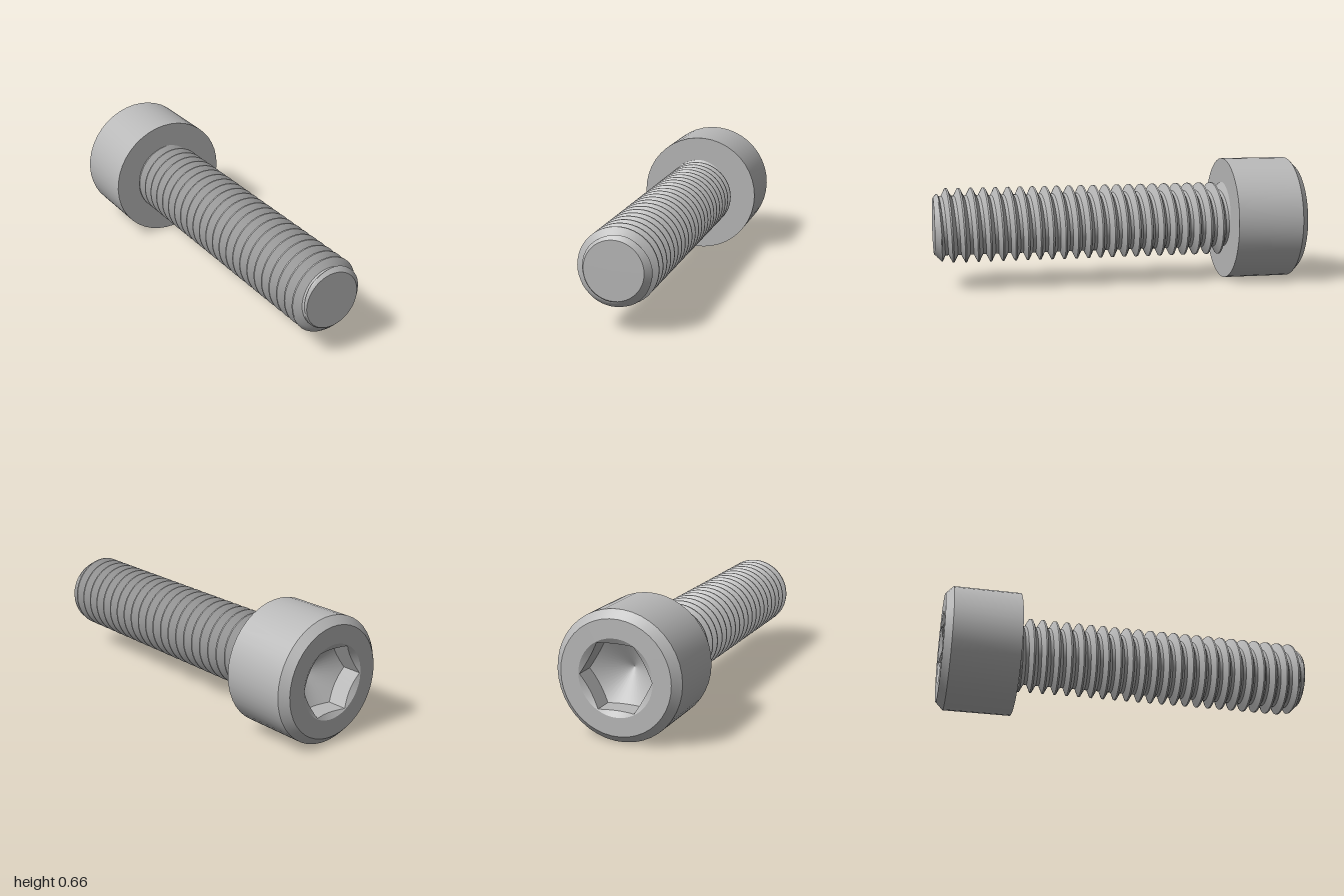
import * as THREE from 'three';
import { toCreasedNormals } from 'three/addons/utils/BufferGeometryUtils.js';

const TAU = Math.PI * 2;

// Surface from rings around the z axis; ring(j, angle) returns [radius, z]
function loft(count, segments, ring, crease) {
  const positions = [], index = [];
  const row = segments + 1;
  for (let j = 0; j < count; j++) {
    for (let i = 0; i <= segments; i++) {
      const a = (i / segments) * TAU;
      const [r, z] = ring(j, a);
      positions.push(r * Math.cos(a), r * Math.sin(a), z);
      if (j < count - 1 && i < segments) {
        const p = j * row + i;
        index.push(p, p + 1, p + row + 1, p, p + row + 1, p + row);
      }
    }
  }
  const g = new THREE.BufferGeometry();
  g.setAttribute('position', new THREE.Float32BufferAttribute(positions, 3));
  g.setIndex(index);
  return toCreasedNormals(g, crease);
}

// Distance from the axis to a hexagon with corners on the x axis
function hexRadius(a) {
  const sector = Math.PI / 3;
  const local = (((a + 1e-9) % sector) + sector) % sector - sector / 2;
  return 0.1667 / Math.cos(local);
}

export function createModel() {
  const steel = new THREE.MeshStandardMaterial({ color: 0xb8b8b8 });
  steel.name = 'steel grey';

  const model = new THREE.Group();
  model.name = 'socketHeadScrew';
  const axis = new THREE.Group();
  axis.name = 'screwAxis';
  axis.position.y = 0.333;
  model.add(axis);
  const add = (name, geometry) => {
    const mesh = new THREE.Mesh(geometry, steel);
    mesh.name = name;
    axis.add(mesh);
    return mesh;
  };

  // Head: drilled socket bottom, hexagonal walls, countersink, chamfered rim, underside
  const back = -1, mouth = 0.197;
  const headRings = [
    () => [0, back + 0.22],
    (a) => [hexRadius(a), back + 0.22 - hexRadius(a) * 0.577],
    (a) => [hexRadius(a), back + (mouth - hexRadius(a)) * 0.6],
    () => [mouth, back],
    () => [0.293, back],
    () => [0.333, -0.96],
    () => [0.333, -0.6],
    () => [0.1, -0.6],
  ];
  add('head', loft(headRings.length, 42, (j, a) => headRings[j](a), 0.35));

  // Threaded shank: right-hand helix, trimmed by the chamfer at the tip
  const pitch = 1 / 15, major = 0.2, minor = 0.159;
  const zStart = -0.62, zEnd = 1, tipRadius = 0.152, crest = 0.913;
  const steps = 16, turns = 28;
  const threadRadius = (u) => {
    const d = Math.abs(u - Math.round(u)); // 0 at crest, 0.5 at root
    const t = THREE.MathUtils.clamp((d - 0.0625) / 0.3125, 0, 1);
    return major + (minor - major) * t;
  };
  const thread = (j, a) => {
    const u = j / steps - 25 + 1 / 16;
    const z = THREE.MathUtils.clamp(crest + pitch * (u + a / TAU), zStart, zEnd);
    return [Math.min(threadRadius(u), tipRadius + (zEnd - z)), z];
  };
  add('threadedShank', loft(turns * steps + 1, 48, thread, 0.5));

  // Flat end of the shank
  add('shankTip', new THREE.CircleGeometry(tipRadius, 48)).position.z = zEnd;

  return model;
}
